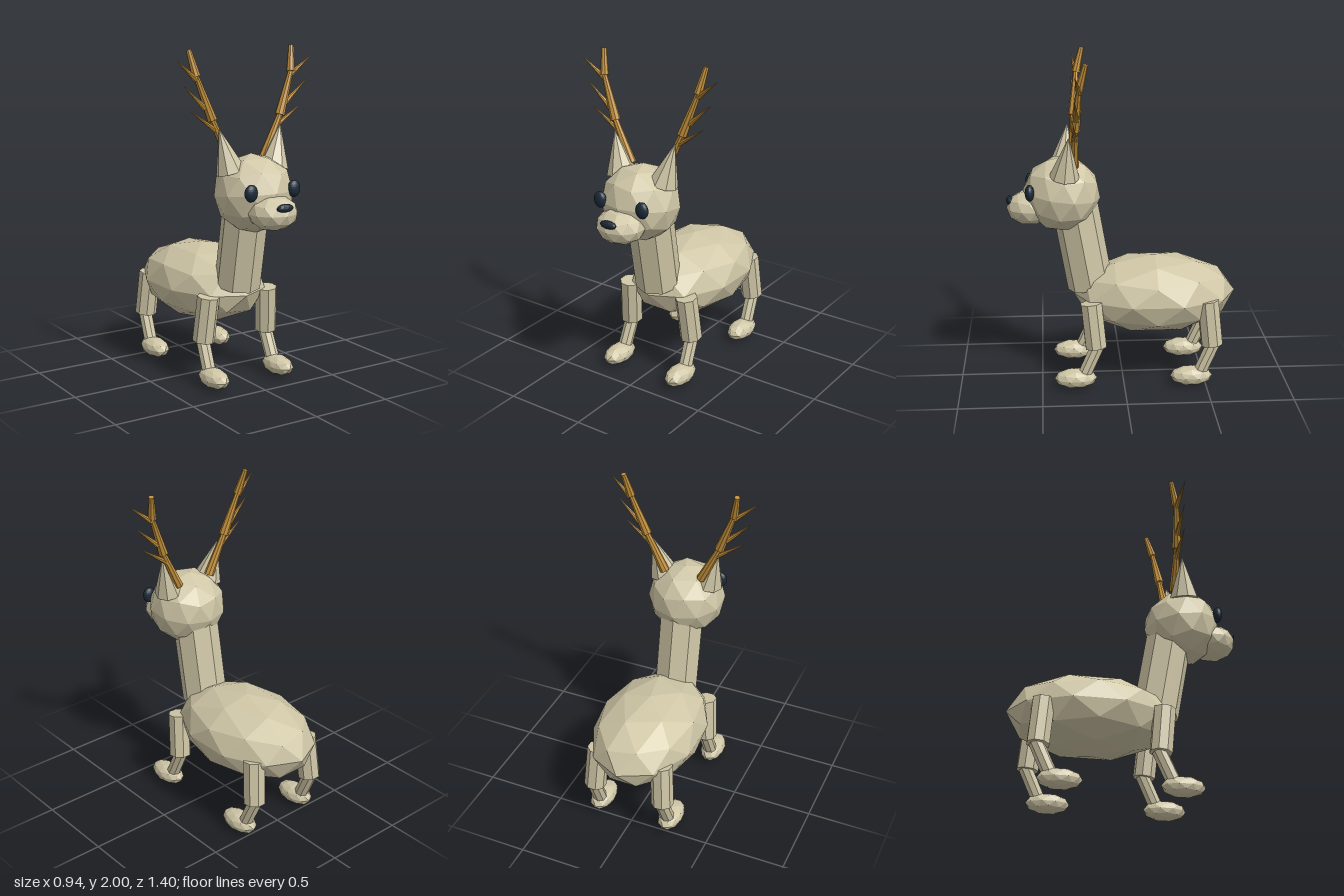
import * as THREE from 'three';

const flat = (name, color) => {
  const m = new THREE.MeshStandardMaterial({ color, flatShading: true });
  m.name = name;
  return m;
};

// Pole-up icosphere: two staggered rings of five between two poles
function icosphere(detail) {
  const v = [0, 1, 0], f = [];
  const h = 1 / Math.sqrt(5), r = 2 * h;
  for (const [y, offset] of [[h, 0], [-h, Math.PI / 5]]) {
    for (let i = 0; i < 5; i++) {
      const a = offset + (i * 2 * Math.PI) / 5;
      v.push(r * Math.cos(a), y, -r * Math.sin(a));
    }
  }
  v.push(0, -1, 0);
  for (let i = 0; i < 5; i++) {
    const n = (i + 1) % 5, u0 = 1 + i, u1 = 1 + n, l0 = 6 + i, l1 = 6 + n;
    f.push(0, u0, u1, u0, l0, u1, l0, l1, u1, 11, l1, l0);
  }
  return new THREE.PolyhedronGeometry(v, f, 1, detail);
}

export function createModel() {
  const model = new THREE.Group();
  model.name = 'deer';
  const coat = flat('coat', 0xcfc6a6);
  const horn = flat('antler gold', 0xc2903a);
  const dark = flat('eye dark', 0x1b2a38);
  const coarse = icosphere(1), fine = icosphere(3);

  const add = (name, geometry, material, parent = model) => {
    const mesh = new THREE.Mesh(geometry, material);
    mesh.name = name;
    parent.add(mesh);
    return mesh;
  };
  const blob = (name, pos, size, material = coat, geometry = coarse, parent = model) => {
    const mesh = add(name, geometry, material, parent);
    mesh.position.set(...pos);
    mesh.scale.set(...size);
    return mesh;
  };
  // Eight-sided tapered rod from point a to point b
  const rod = (name, a, b, ra, rb, material = coat, parent = model) => {
    const p = new THREE.Vector3(...a), q = new THREE.Vector3(...b);
    const dir = q.clone().sub(p), len = dir.length();
    const mesh = add(name, new THREE.CylinderGeometry(rb, ra, len, 8), material, parent);
    mesh.position.copy(p).add(q).multiplyScalar(0.5);
    mesh.quaternion.setFromUnitVectors(new THREE.Vector3(0, 1, 0), dir.normalize());
    return mesh;
  };

  // Body, neck and head
  blob('body', [0, 0.53, -0.2], [0.335, 0.24, 0.5]);
  rod('neck', [0, 0.579, 0.195], [0, 1.13, 0.293], 0.14, 0.14);
  blob('head', [0, 1.168, 0.365], [0.24, 0.232, 0.235]).rotation.x = -0.13;
  blob('snout', [0, 1.085, 0.56], [0.15, 0.105, 0.14]);
  blob('nose', [0, 1.13, 0.678], [0.056, 0.025, 0.023], dark);

  for (const s of [1, -1]) {
    const side = s > 0 ? 'left' : 'right';

    // Eyes and ears
    blob(side + 'Eye', [s * 0.148, 1.21, 0.557], [0.041, 0.05, 0.028], dark, fine);
    rod(side + 'Ear', [s * 0.148, 1.305, 0.35], [s * 0.212, 1.55, 0.325], 0.09, 0.002);

    // Antler: three stacked beams with three outward tines
    const antler = new THREE.Group();
    antler.name = side + 'Antler';
    model.add(antler);
    const beam = [[0.12, 1.36, 0.293], [0.235, 1.6, 0.287], [0.327, 1.85, 0.265], [0.355, 2.0, 0.228]];
    const beamRadii = [[0.03, 0.018], [0.03, 0.016], [0.026, 0.016]];
    const m = ([x, y, z]) => [s * x, y, z];
    beamRadii.forEach(([ra, rb], i) =>
      rod('antlerBeam', m(beam[i]), m(beam[i + 1]), ra, rb, horn, antler));
    const tines = [
      [[0.205, 1.535, 0.287], [0.388, 1.662, 0.3]],
      [[0.28, 1.67, 0.28], [0.427, 1.806, 0.292]],
      [[0.33, 1.835, 0.265], [0.468, 1.948, 0.29]],
    ];
    for (const [a, b] of tines) rod('antlerTine', m(a), m(b), 0.018, 0.001, horn, antler);

    // Legs: front pair and the same shape repeated at the rear
    for (const [place, dz] of [['Front', 0], ['Rear', -0.707]]) {
      const leg = new THREE.Group();
      leg.name = side + place + 'Leg';
      leg.position.z = dz;
      model.add(leg);
      rod('upperLeg', [s * 0.208, 0.535, 0.2], [s * 0.226, 0.257, 0.172], 0.068, 0.068, coat, leg);
      rod('lowerLeg', [s * 0.226, 0.27, 0.16], [s * 0.231, 0.09, 0.24], 0.043, 0.043, coat, leg);
      blob('foot', [s * 0.232, 0.06, 0.297], [0.074, 0.06, 0.13], coat, coarse, leg);
    }
  }
  return model;
}
